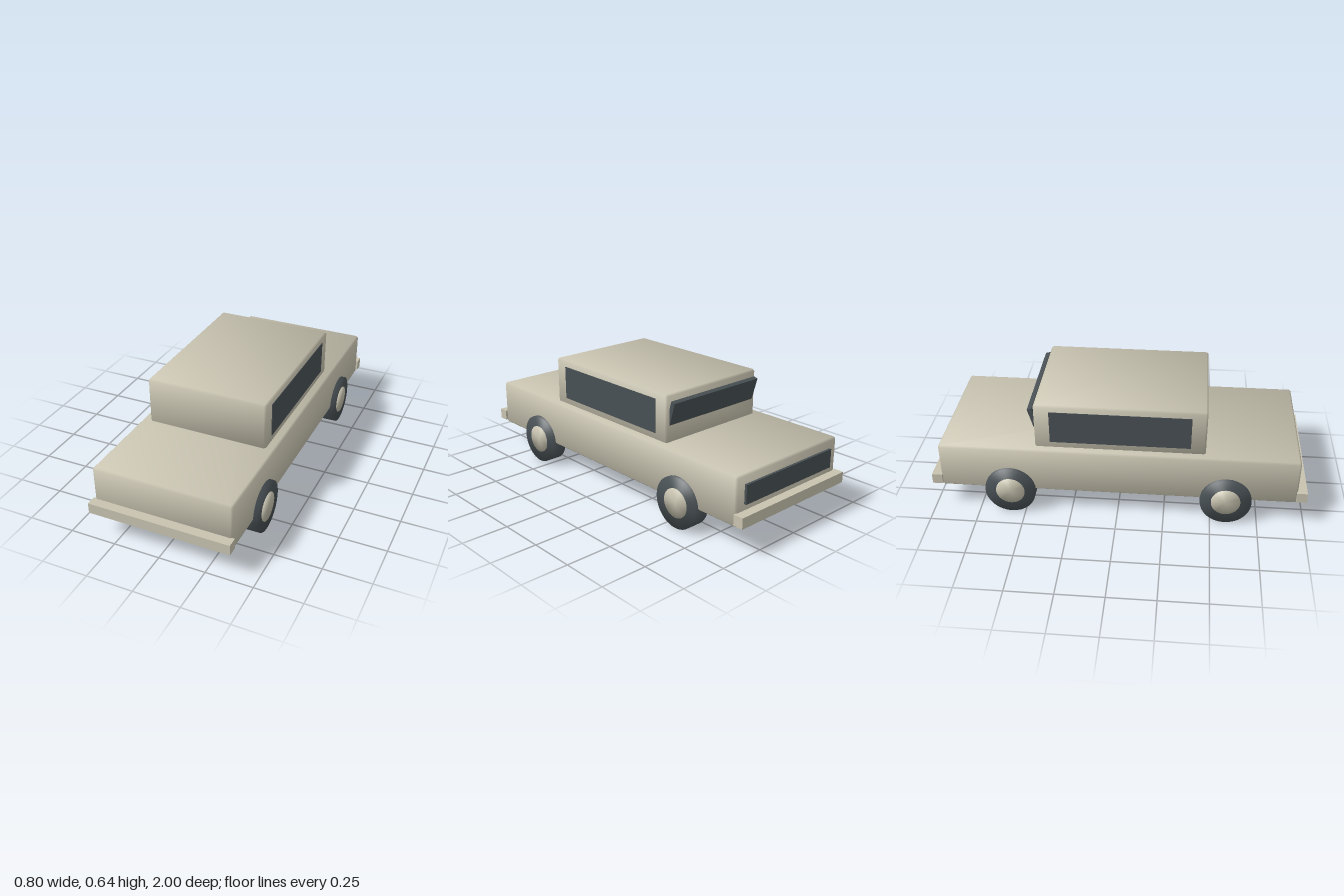
import * as THREE from 'three';
import { mergeVertices } from 'three/addons/utils/BufferGeometryUtils.js';
import { ConvexGeometry } from 'three/addons/geometries/ConvexGeometry.js';

const paint = new THREE.MeshStandardMaterial({ color: 0xc8c3b0 });
paint.name = 'beige paint';
const dark = new THREE.MeshStandardMaterial({ color: 0x485054 });
dark.name = 'dark grey';

// Box with small chamfers and normals blended softly over its edges
function softBox(w, h, d, bevel) {
  const half = [w / 2, h / 2, d / 2];
  const points = [];
  for (let axis = 0; axis < 3; axis++)
    for (const sx of [-1, 1]) for (const sy of [-1, 1]) for (const sz of [-1, 1]) {
      const s = [sx, sy, sz];
      points.push(new THREE.Vector3(...half.map((e, i) => s[i] * (i === axis ? e : e - bevel))));
    }
  const geo = new ConvexGeometry(points);
  const pos = geo.attributes.position;
  const n = new THREE.Vector3();
  for (let i = 0; i < pos.count; i++) {
    const p = [pos.getX(i), pos.getY(i), pos.getZ(i)];
    n.set(...p.map((v, k) => Math.sign(v) * (Math.abs(v) > half[k] - bevel / 2 ? 0.86 : 0.36))).normalize();
    geo.attributes.normal.setXYZ(i, n.x, n.y, n.z);
  }
  return geo;
}

// Cylinder lying along x, smooth across its rims
function softDisc(radius, width) {
  const geo = new THREE.CylinderGeometry(radius, radius, width, 32).rotateZ(Math.PI / 2);
  geo.deleteAttribute('normal');
  geo.deleteAttribute('uv');
  const merged = mergeVertices(geo);
  merged.computeVertexNormals();
  return merged;
}

export function createModel() {
  const car = new THREE.Group();
  car.name = 'car';
  const add = (name, geo, mat, x, y, z) => {
    const mesh = new THREE.Mesh(geo, mat);
    mesh.name = name;
    mesh.position.set(x, y, z);
    car.add(mesh);
    return mesh;
  };

  // Lower body and cabin
  add('body', softBox(0.746, 0.255, 1.9, 0.01), paint, 0, 0.2655, 0);
  add('cabin', softBox(0.654, 0.262, 0.896, 0.01), paint, 0, 0.512, 0.011);

  // Bumpers
  for (const [name, side] of [['frontBumper', 1], ['rearBumper', -1]])
    add(name, new THREE.BoxGeometry(0.764, 0.057, 0.055), paint, 0, 0.1815, side * 0.9725);

  // Tilted rear window, its lower half sunk into the cabin
  const rearWindow = add('rearWindow', new THREE.BoxGeometry(0.61, 0.21, 0.025), dark, 0, 0.505, -0.431);
  rearWindow.rotation.x = -0.28;

  // Dark panel across the tail
  add('tailPanel', new THREE.BoxGeometry(0.635, 0.1, 0.02), dark, 0, 0.293, -0.953);

  for (const [label, side] of [['left', 1], ['right', -1]]) {
    add(label + 'SideWindow', new THREE.BoxGeometry(0.008, 0.182, 0.737), dark, side * 0.326, 0.516, 0.012);

    // Wheels with protruding hubs
    for (const [end, z] of [['Front', 0.577], ['Rear', -0.575]]) {
      add(label + end + 'Tyre', softDisc(0.1365, 0.088), dark, side * 0.349, 0.1365, z);
      add(label + end + 'Hub', softDisc(0.0775, 0.097), paint, side * 0.349, 0.1365, z);
    }
  }
  return car;
}
